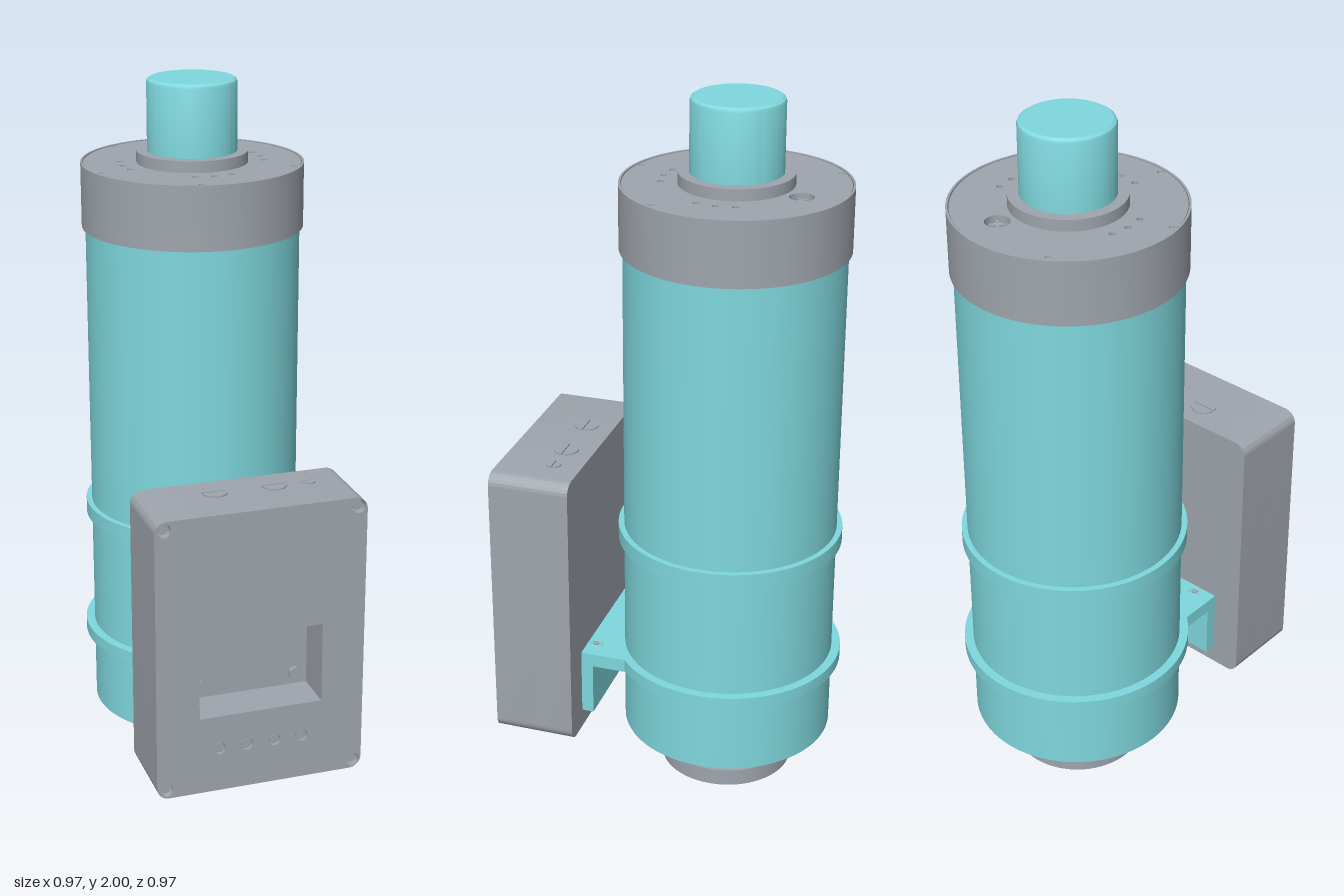
import * as THREE from 'three';
import { toCreasedNormals } from 'three/addons/utils/BufferGeometryUtils.js';

const teal = new THREE.MeshStandardMaterial({ color: 0x7fd8de });
const grey = new THREE.MeshStandardMaterial({ color: 0x9fa5ad });
const SEG = 96;

function add(parent, name, geometry, material, x = 0, y = 0, z = 0) {
  const mesh = new THREE.Mesh(toCreasedNormals(geometry, 0.5), material);
  mesh.name = name;
  mesh.position.set(x, y, z);
  parent.add(mesh);
  return mesh;
}

// Turned solid from [radius, height] pairs, bottom to top
const turned = (points) =>
  new THREE.LatheGeometry(points.map(([r, y]) => new THREE.Vector2(r, y)), SEG);

// Upright cylinder between two heights
function drum(parent, name, material, r, y0, y1, x = 0, z = 0, seg = 32) {
  return add(parent, name, new THREE.CylinderGeometry(r, r, y1 - y0, seg), material, x, (y0 + y1) / 2, z);
}

function circle(x, y, r, Type = THREE.Path) {
  const path = new Type();
  path.absarc(x, y, r, 0, Math.PI * 2, Type === THREE.Path);
  return path;
}

function rounded(x0, y0, x1, y1, r) {
  const s = new THREE.Shape();
  s.absarc(x1 - r, y0 + r, r, -Math.PI / 2, 0);
  s.absarc(x1 - r, y1 - r, r, 0, Math.PI / 2);
  s.absarc(x0 + r, y1 - r, r, Math.PI / 2, Math.PI);
  s.absarc(x0 + r, y0 + r, r, Math.PI, Math.PI * 1.5);
  s.closePath();
  return s;
}

const extrude = (shape, depth, curveSegments = 12) =>
  new THREE.ExtrudeGeometry(shape, { depth, bevelEnabled: false, curveSegments });

// Disc lying flat with holes given as [x, z, radius]
function drilledDisc(radius, thickness, holes) {
  const shape = circle(0, 0, radius, THREE.Shape);
  shape.holes = holes.map(([x, z, r]) => circle(x, -z, r));
  return extrude(shape, thickness, 48).rotateX(-Math.PI / 2);
}

function buildColumn(unit) {
  drum(unit, 'columnBody', teal, 0.30, 0.135, 1.6, 0, 0, SEG);
  drum(unit, 'upperBand', teal, 0.316, 0.73, 0.772, 0, 0, SEG);
  drum(unit, 'lowerBand', teal, 0.325, 0.35, 0.385, 0, 0, SEG);

  // Small side port near the foot of the column
  const port = drum(unit, 'sidePort', grey, 0.03, -0.006, 0.006, 0, 0);
  port.rotation.set(Math.PI / 2, 0, 0);
  port.position.set(0.06, 0.215, 0.294);

  // Head: shell with an inset drilled plate
  add(unit, 'headShell', turned([[0, 1.59], [0.31, 1.59], [0.31, 1.77], [0.304, 1.77], [0.304, 1.74], [0, 1.74]]), grey);
  const holes = [[-0.09, -0.18, 0.033]];
  for (const mid of [-45, 45, 135]) {
    for (const step of [-15, 0, 15]) {
      const a = THREE.MathUtils.degToRad(mid + step);
      holes.push([0.2 * Math.cos(a), 0.2 * Math.sin(a), 0.009]);
    }
  }
  const screws = [[-0.283, -0.06], [0.282, -0.065], [-0.148, 0.249], [0.156, 0.244]];
  screws.forEach(([x, z]) => holes.push([x, z, 0.008]));
  add(unit, 'headPlate', drilledDisc(0.302, 0.028, holes), grey, 0, 1.74, 0);
  screws.forEach(([x, z]) => drum(unit, 'headScrew', grey, 0.006, 1.74, 1.766, x, z, 12));

  // Sunken fitting in the head
  drum(unit, 'headFitting', teal, 0.024, 1.74, 1.752, -0.09, -0.18);
  add(unit, 'fittingBar', new THREE.BoxGeometry(0.044, 0.01, 0.008), grey, -0.09, 1.755, -0.18);
  add(unit, 'fittingBar', new THREE.BoxGeometry(0.008, 0.01, 0.044), grey, -0.09, 1.755, -0.18);

  // Collar and rounded top plunger
  drum(unit, 'collar', grey, 0.155, 1.76, 1.80, 0, 0, SEG);
  add(unit, 'plunger', turned([[0, 1.79], [0.125, 1.79], [0.125, 1.988], [0.1225, 1.995], [0.115, 2], [0, 2]]), teal);
}

function buildFoot(foot) {
  // Drilled foot flange, shaft and four tie rods
  const holes = [[0, 0, 0.025]];
  for (let i = 0; i < 6; i++) {
    const a = i * Math.PI / 3;
    holes.push([0.138 * Math.cos(a), 0.138 * Math.sin(a), 0.031]);
  }
  add(foot, 'footFlange', drilledDisc(0.19, 0.05, holes), grey);
  drum(foot, 'footShaft', grey, 0.038, 0.02, 0.14);
  for (let i = 0; i < 4; i++) {
    const a = Math.PI / 4 + i * Math.PI / 2;
    drum(foot, 'tieRod', grey, 0.021, 0.04, 0.14, 0.083 * Math.cos(a), 0.083 * Math.sin(a), 24);
  }
}

function buildBracket(side) {
  // Angle bracket between the lower band and the box
  const shelf = new THREE.Shape();
  shelf.moveTo(-0.212, -0.2).lineTo(-0.212, -0.378).lineTo(0.212, -0.378).lineTo(0.212, -0.2).closePath();
  add(side, 'bracketShelf', extrude(shelf, 0.04).rotateX(-Math.PI / 2), teal, 0, 0.345, 0);
  add(side, 'bracketPlate', new THREE.BoxGeometry(0.424, 0.17, 0.035), teal, 0, 0.275, 0.361);
  for (const x of [-0.152, 0.152]) {
    add(side, 'bracketScrewRim', new THREE.TorusGeometry(0.016, 0.003, 8, 24).rotateX(Math.PI / 2), teal, x, 0.385, 0.353);
    drum(side, 'bracketScrew', grey, 0.009, 0.38, 0.389, x, 0.353, 16);
  }
}

function buildBox(side) {
  const back = 0.378, front = 0.61, recess = 0.12;
  const [y0, y1] = [0.135, 0.962];
  const outline = () => rounded(-0.3, y0, 0.3, y1, 0.035);

  // Solid rear half and front half cut by the window and the corner screw holes
  add(side, 'boxRear', extrude(outline(), front - recess - back), grey, 0, 0, back);
  const face = outline();
  const cut = new THREE.Path();
  cut.moveTo(-0.177, 0.365).lineTo(-0.177, 0.6).lineTo(0.177, 0.6).lineTo(0.177, 0.365).closePath();
  face.holes.push(cut);
  const corners = [];
  for (const x of [-0.274, 0.274]) for (const y of [0.161, 0.936]) corners.push([x, y]);
  const buttons = [-0.12, -0.04, 0.04, 0.12];
  corners.forEach(([x, y]) => face.holes.push(circle(x, y, 0.02)));
  buttons.forEach((x) => face.holes.push(circle(x, 0.265, 0.018)));
  add(side, 'boxFront', extrude(face, recess), grey, 0, 0, front - recess);

  // Horizontal pins: corner screws, buttons and window studs
  const pin = (name, r, x, y, z0, z1) =>
    add(side, name, new THREE.CylinderGeometry(r, r, z1 - z0, 20).rotateX(Math.PI / 2), grey, x, y, (z0 + z1) / 2);
  corners.forEach(([x, y]) => pin('cornerScrew', 0.015, x, y, front - recess, front - 0.012));
  buttons.forEach((x) => pin('button', 0.014, x, 0.265, front - recess, front - 0.004));
  for (const x of [-0.14, 0.14]) pin('windowStud', 0.018, x, 0.4, front - recess, front - recess + 0.012);

  // Slotted plugs on the top of the box: two half discs each
  for (const [x, r] of [[-0.085, 0.035], [0.085, 0.035], [0.184, 0.021]]) {
    const plug = new THREE.Group();
    plug.name = 'slottedPlug';
    plug.position.set(x, y1 - 0.002, 0.459);
    for (const turn of [0, Math.PI]) {
      const half = new THREE.Shape();
      half.absarc(0, 0, r, 0.08, Math.PI - 0.08);
      half.closePath();
      add(plug, 'plugHalf', extrude(half, 0.006, 20).rotateX(-Math.PI / 2), grey).rotation.y = turn;
    }
    side.add(plug);
  }
}

export function createModel() {
  const model = new THREE.Group();
  model.name = 'columnWithControlBox';
  const unit = new THREE.Group();
  unit.name = 'column';
  unit.position.set(-0.16, 0, -0.16);
  model.add(unit);
  buildColumn(unit);

  // Foot and control box are turned to the front left diagonal
  const diagonal = (name, build) => {
    const group = new THREE.Group();
    group.name = name;
    group.rotation.y = Math.PI / 4;
    unit.add(group);
    build(group);
  };
  diagonal('foot', buildFoot);
  diagonal('bracket', buildBracket);
  diagonal('controlBox', buildBox);
  return model;
}
